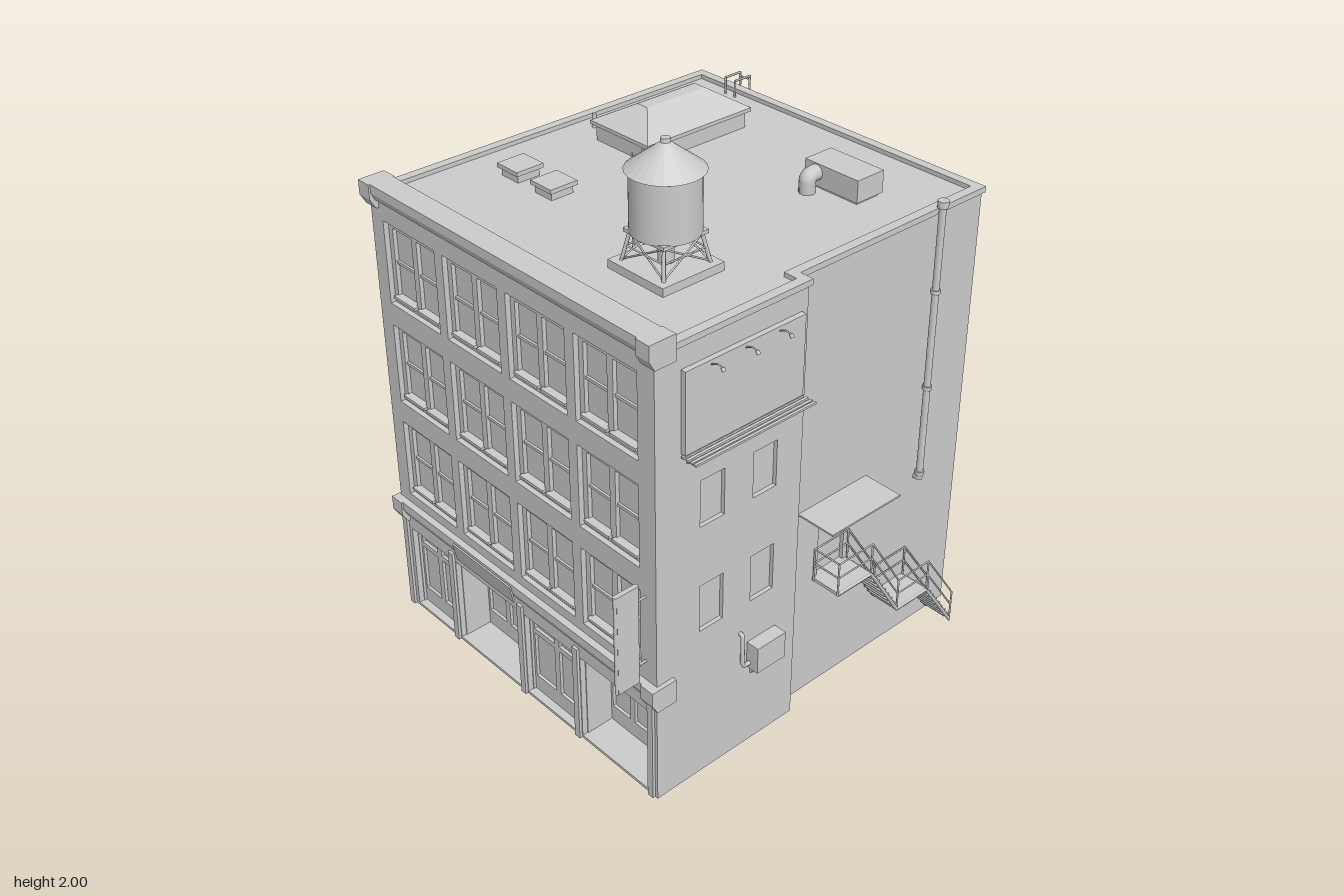
import * as THREE from 'three';

const mat = new THREE.MeshStandardMaterial({ color: 0xcccccc, side: THREE.DoubleSide });
const flat = new THREE.MeshStandardMaterial({ color: 0xcccccc, side: THREE.DoubleSide, flatShading: true });

function add(parent, name, geo, m = mat) {
  const mesh = new THREE.Mesh(geo, m);
  mesh.name = name;
  parent.add(mesh);
  return mesh;
}
function group(parent, name) {
  const g = new THREE.Group();
  g.name = name;
  parent.add(g);
  return g;
}
// box given by its limits
function box(p, name, x0, x1, y0, y1, z0, z1) {
  const m = add(p, name, new THREE.BoxGeometry(x1 - x0, y1 - y0, z1 - z0));
  m.position.set((x0 + x1) / 2, (y0 + y1) / 2, (z0 + z1) / 2);
  return m;
}
// round bar between two points
function bar(p, name, a, b, r = 0.003, sides = 6) {
  const A = new THREE.Vector3(...a), B = new THREE.Vector3(...b), d = B.clone().sub(A);
  const m = add(p, name, new THREE.CylinderGeometry(r, r, d.length(), sides));
  m.position.copy(A).add(B).multiplyScalar(0.5);
  m.quaternion.setFromUnitVectors(new THREE.Vector3(0, 1, 0), d.normalize());
  return m;
}
function tube(p, name, pts, r, seg = 20) {
  const c = new THREE.CatmullRomCurve3(pts.map(q => new THREE.Vector3(...q)), false, 'catmullrom', 0.2);
  return add(p, name, new THREE.TubeGeometry(c, seg, r, 10));
}
function poly(pts) {
  return new THREE.Shape(pts.map(q => new THREE.Vector2(...q)));
}
const rect = (a, b, c, d) => poly([[a, c], [b, c], [b, d], [a, d]]);
// wall in its own plane (outer face at z = 0) with recessed openings [u0, u1, y0, y1]
function wall(p, name, u0, u1, y0, y1, holes, depth, pane = true) {
  const s = rect(u0, u1, y0, y1);
  holes.forEach(h => s.holes.push(rect(...h)));
  add(p, name, new THREE.ExtrudeGeometry(s, { depth, bevelEnabled: false })).position.z = -depth;
  if (pane) holes.forEach(h => box(p, 'pane', h[0], h[1], h[2], h[3], -depth - 0.003, -depth + 0.001));
}
function ladder(p, a, b, y0, y1, step, r) {
  for (const q of [a, b]) bar(p, 'ladderRail', [q[0], y0, q[1]], [q[0], y1, q[1]], r);
  for (let y = y0 + step / 2; y < y1; y += step) bar(p, 'ladderRung', [a[0], y, a[1]], [b[0], y, b[1]], r * 0.8);
}

function buildWalls(root) {
  const g = group(root, 'walls');
  const rows = [[0.57, 0.74], [0.955, 1.117], [1.35, 1.51]];
  // front wall, stepped
  const left = group(g, 'frontWallProjecting');
  left.position.z = 0.61;
  wall(left, 'wall', -0.65, -0.07, 0, 1.59,
    rows.slice(0, 2).flatMap(r => [[-0.48, -0.385, ...r], [-0.27, -0.175, ...r]]), 0.015);
  const right = group(g, 'frontWall');
  right.position.z = 0.56;
  wall(right, 'wall', -0.075, 0.74, 0, 1.59, [[0.08, 0.2, 0.455, 0.7]], 0.015);
  box(g, 'wallStep', -0.075, -0.07, 0, 1.59, 0.545, 0.61);
  // side wall with windows, doors and cellar openings
  const side = group(g, 'sideWall');
  side.rotation.y = Math.PI / 2;
  side.position.x = 0.745;
  const spans = [[-0.35, -0.25], [-0.075, 0.025]];
  const doors = [[-0.2, -0.12, 0.005, 0.35], [0.265, 0.34, 0.005, 0.35]];
  const cellar = [-0.45, 0.02, 0.42].map(u => [u, u + 0.16, 0.045, 0.125]);
  wall(side, 'wall', -0.56, 0.7, 0, 1.59,
    [...rows.flatMap(r => spans.map(s => [...s, ...r])), ...doors, ...cellar], 0.015);
  box(g, 'backWall', -0.65, 0.745, 0, 1.59, -0.7, -0.69);
  // roof and its low rim
  const outline = o => [[-0.65 - o, -0.7 - o], [0.745 + o, -0.7 - o], [0.745 + o, 0.56 + o], [-0.07 + o, 0.56 + o],
    [-0.07 + o, 0.61 + o], [-0.65 - o, 0.61 + o]].map(q => [q[0], -q[1]]);
  const slab = (name, shape, y, h) => {
    const m = add(g, name, new THREE.ExtrudeGeometry(shape, { depth: h, bevelEnabled: false }));
    m.rotation.x = -Math.PI / 2;
    m.position.y = y;
  };
  slab('roof', poly(outline(-0.003)), 1.585, 0.01);
  const rim = poly(outline(0.008));
  rim.holes.push(poly(outline(-0.025)));
  slab('roofRim', rim, 1.59, 0.02);
}

function buildFacade(root) {
  const g = group(root, 'streetFacade');
  g.rotation.y = -Math.PI / 2; // local x runs along z, local z points to -x
  g.position.x = -0.65;
  // upper floors: paired sash windows in recessed bays
  const bays = [-0.64, -0.335, -0.03, 0.275].map(u => [u, u + 0.265]);
  const floors = [[0.49, 0.78], [0.86, 1.15], [1.23, 1.52]];
  const holes = floors.flatMap(f => bays.map(b => [...b, ...f]));
  wall(g, 'upperWall', -0.7, 0.61, 0.37, 1.59, holes, 0.02, false);
  for (const [a, b, y0, y1] of holes) {
    const bay = group(g, 'windowBay');
    bay.position.z = -0.018;
    wall(bay, 'bayPanel', a, b, y0, y1, [0.02, 0.145].map(d => [a + d, a + d + 0.1, y0 + 0.03, y1 - 0.025]), 0.015);
    for (const d of [0.02, 0.145]) {
      box(bay, 'meetingRail', a + d, a + d + 0.1, (y0 + y1) / 2 - 0.005, (y0 + y1) / 2 + 0.005, -0.016, -0.006);
      box(bay, 'sill', a + d - 0.006, a + d + 0.106, y0 + 0.02, y0 + 0.03, -0.002, 0.014);
    }
  }
  // cornices with larger end blocks
  const cornice = (name, y0, y1) => {
    const s = poly([[-0.02, y0 + 0.03], [0.012, y0 + 0.03], [0.024, y1 - 0.03], [0.024, y1], [-0.06, y1], [-0.06, y1 - 0.04], [-0.02, y1 - 0.04]]);
    const m = add(g, name, new THREE.ExtrudeGeometry(s, { depth: 1.31, bevelEnabled: false }));
    m.rotation.y = -Math.PI / 2;
    m.rotation.y = Math.PI / 2;
    m.scale.x = -1;
    m.position.x = -0.7;
    for (const u of [-0.71, 0.57]) {
      const e = add(g, name + 'End', new THREE.ExtrudeGeometry(
        poly([[-0.065, y0], [0.01, y0], [0.03, y0 + 0.035], [0.03, y1], [-0.065, y1]]), { depth: 0.055, bevelEnabled: false }));
      e.rotation.y = Math.PI / 2;
      e.scale.x = -1;
      e.position.x = u;
    }
  };
  cornice('upperCornice', 1.56, 1.645);
  cornice('lowerCornice', 0.37, 0.455);
  // shop fronts: [start, end, recess depth, panes]
  const shops = [[-0.65, -0.43, 0.03, 2], [-0.4, -0.06, 0.12, 3], [-0.03, 0.22, 0.03, 2], [0.25, 0.57, 0.12, 3]];
  wall(g, 'shopWall', -0.7, 0.61, 0, 0.37, shops.map(s => [s[0], s[1], 0.008, 0.335]), 0.025, false);
  for (const [a, b, d, n] of shops) {
    const shop = group(g, 'shopFront');
    const w = (b - a) / n;
    box(shop, 'entryFloor', a, b, 0, 0.01, -d, 0);
    box(shop, 'entryCeiling', a, b, 0.33, 0.338, -d, -0.02);
    for (const u of [a, b]) box(shop, 'entryCheek', u - 0.003, u + 0.003, 0, 0.335, -d, -0.02);
    const back = group(shop, 'shopGlazing');
    back.position.z = -d;
    const open = [];
    for (let i = 0; i < n; i++) {
      const u0 = a + i * w + 0.012, u1 = a + (i + 1) * w - 0.012;
      open.push([u0, u1, 0.07, 0.25], [u0, u1, 0.27, 0.32]);
    }
    wall(back, 'shopFrame', a, b, 0, 0.335, open, 0.012);
  }
  for (const u of [-0.69, -0.427, -0.057, 0.223, 0.575]) box(g, 'pilaster', u, u + 0.024, 0, 0.37, 0, 0.01);
  // slanted shop sign
  const sign = box(g, 'slantedPanel', -0.355, -0.05, 0.385, 0.455, 0.024, 0.03);
  sign.rotation.x = 0.2;
}

function buildFrontFittings(root) {
  // billboard with walkway and lamps
  const b = group(root, 'billboard');
  box(b, 'panel', -0.555, -0.095, 1.245, 1.515, 0.61, 0.628);
  for (const z of [0.622, 0.64, 0.658, 0.672]) box(b, 'walkwaySlat', -0.56, -0.09, 1.235, 1.242, z - 0.005, z + 0.005);
  for (const x of [-0.53, -0.395, -0.26, -0.125]) {
    bar(b, 'bracket', [x, 1.205, 0.612], [x, 1.235, 0.67], 0.004);
    bar(b, 'bracketFoot', [x, 1.205, 0.615], [x, 1.24, 0.615], 0.006);
  }
  for (const x of [-0.46, -0.33, -0.2]) {
    tube(b, 'lampArm', [[x, 1.5, 0.625], [x, 1.512, 0.65], [x, 1.51, 0.675]], 0.0025, 8);
    bar(b, 'lamp', [x, 1.51, 0.67], [x, 1.5, 0.677], 0.006, 8);
  }
  // wall cooling unit
  const u = group(root, 'coolingUnit');
  box(u, 'casing', -0.28, -0.16, 0.318, 0.415, 0.612, 0.66);
  for (const x of [-0.262, -0.18]) {
    bar(u, 'foot', [x, 0.285, 0.615], [x, 0.318, 0.615], 0.005);
    bar(u, 'footArm', [x, 0.29, 0.612], [x, 0.318, 0.655], 0.004);
  }
  tube(u, 'coolingPipe', [[-0.31, 0.465, 0.605], [-0.31, 0.462, 0.622], [-0.31, 0.36, 0.624], [-0.305, 0.342, 0.624], [-0.28, 0.34, 0.624]], 0.007);
  // hanging sign
  const s = group(root, 'hangingSign');
  box(s, 'signBoard', -0.765, -0.685, 0.47, 0.83, 0.557, 0.573);
  for (const x of [-0.763, -0.687]) bar(s, 'signEdge', [x, 0.47, 0.565], [x, 0.83, 0.565], 0.008, 10);
  for (const y of [0.53, 0.77]) bar(s, 'signBracket', [-0.69, y, 0.565], [-0.64, y, 0.565], 0.004);
  // canopy, door lamp and rain pipe
  box(root, 'canopy', -0.018, 0.29, 0.737, 0.743, 0.555, 0.705);
  const lamp = add(root, 'doorLamp', new THREE.SphereGeometry(0.009, 12, 8));
  lamp.position.set(0.265, 0.655, 0.567);
  const p = group(root, 'rainPipe');
  tube(p, 'pipe', [[0.538, 1.63, 0.578], [0.538, 0.66, 0.578], [0.538, 0.63, 0.575], [0.538, 0.625, 0.552]], 0.012, 60);
  bar(p, 'pipeHead', [0.538, 1.615, 0.578], [0.538, 1.638, 0.578], 0.018, 12);
  for (const y of [0.64, 0.97, 1.32]) bar(p, 'pipeCollar', [0.538, y, 0.578], [0.538, y + 0.014, 0.578], 0.016, 12);
}

function buildStairs(root) {
  const g = group(root, 'outsideStairs');
  const path = [[0.06, 0.455], [0.215, 0.455], [0.36, 0.23], [0.51, 0.23], [0.655, 0.02]];
  for (const i of [0, 2]) box(g, 'landing', path[i][0], path[i + 1][0], path[i][1] - 0.012, path[i][1], 0.56, 0.675);
  for (const z of [0.567, 0.672]) {
    for (let i = 0; i < 4; i++) {
      const [a, b] = [path[i], path[i + 1]];
      for (const h of [-0.005, 0.06, 0.115]) bar(g, h < 0 ? 'stringer' : 'handrail', [a[0], a[1] + h, z], [b[0], b[1] + h, z], h < 0 ? 0.006 : 0.003);
    }
    for (const q of path) bar(g, 'post', [q[0], q[1] - 0.01, z], [q[0], q[1] + 0.115, z], 0.0035);
  }
  for (const h of [0.06, 0.115]) bar(g, 'endRail', [0.06, 0.455 + h, 0.567], [0.06, 0.455 + h, 0.672], 0.003);
  for (const i of [1, 3]) for (let k = 1; k < 8; k++) {
    const t = k / 8, x = THREE.MathUtils.lerp(path[i][0], path[i + 1][0], t), y = THREE.MathUtils.lerp(path[i][1], path[i + 1][1], t);
    box(g, 'tread', x - 0.012, x + 0.012, y - 0.004, y, 0.567, 0.672);
  }
  // side wall ladder with hoops over the roof edge
  const l = group(root, 'wallLadder');
  ladder(l, [0.762, -0.478], [0.762, -0.524], 0.35, 1.655, 0.06, 0.004);
  for (const z of [-0.478, -0.524]) {
    bar(l, 'hoopTop', [0.762, 1.653, z], [0.692, 1.653, z], 0.004);
    bar(l, 'hoopLeg', [0.692, 1.653, z], [0.692, 1.59, z], 0.004);
    for (const y of [0.56, 0.97, 1.38]) bar(l, 'standoff', [0.74, y, z], [0.762, y, z], 0.004);
  }
}

function buildRoofItems(root) {
  // skylight: box, eave and hipped glass roof lofted between two rectangles
  const s = group(root, 'skylight');
  box(s, 'curb', 0.115, 0.54, 1.59, 1.655, -0.527, -0.273);
  box(s, 'eave', 0.1, 0.555, 1.652, 1.665, -0.54, -0.26);
  const hip = new THREE.BoxGeometry(0.455, 0.065, 0.28), v = hip.attributes.position;
  for (let i = 0; i < v.count; i++) if (v.getY(i) > 0) v.setXYZ(i, v.getX(i) * 0.55, v.getY(i), v.getZ(i) * 0.17);
  add(s, 'glassHip', hip, flat).position.set(0.3275, 1.697, -0.4);
  for (const z of [-0.483, -0.317]) {
    const h = group(root, 'roofHatch');
    box(h, 'hatchBody', -0.275, -0.19, 1.59, 1.625, z - 0.04, z + 0.04);
    box(h, 'hatchCap', -0.285, -0.18, 1.622, 1.637, z - 0.05, z + 0.05);
  }
  bar(root, 'ventPipe', [0.175, 1.59, -0.61], [0.175, 1.645, -0.61], 0.008, 10);
  // ventilation unit with bent duct
  const u = group(root, 'ventilationUnit');
  box(u, 'casing', 0.38, 0.495, 1.605, 1.68, 0.155, 0.375);
  box(u, 'base', 0.39, 0.485, 1.59, 1.605, 0.165, 0.365);
  tube(u, 'duct', [[0.385, 1.65, 0.203], [0.355, 1.65, 0.203], [0.342, 1.637, 0.203], [0.342, 1.59, 0.203]], 0.027);
  // water tower
  const t = group(root, 'waterTower');
  t.position.set(-0.308, 0, 0.278);
  box(t, 'plinth', -0.117, 0.117, 1.59, 1.622, -0.117, 0.117);
  add(t, 'tank', new THREE.CylinderGeometry(0.105, 0.105, 0.19, 32)).position.y = 1.815;
  add(t, 'tankRoof', new THREE.ConeGeometry(0.118, 0.09, 24), flat).position.y = 1.953;
  add(t, 'finial', new THREE.CylinderGeometry(0.014, 0.016, 0.012, 12)).position.y = 1.994;
  bar(t, 'riserPipe', [0, 1.61, 0], [0, 1.73, 0], 0.024, 16);
  box(t, 'tankDeck', -0.085, 0.085, 1.712, 1.724, -0.085, 0.085);
  const c = [[1, 1], [1, -1], [-1, -1], [-1, 1]];
  c.forEach((a, i) => {
    const b = c[(i + 1) % 4], at = (q, r, y) => [q[0] * r, y, q[1] * r];
    bar(t, 'leg', at(a, 0.09, 1.615), at(a, 0.07, 1.72), 0.006);
    bar(t, 'brace', at(a, 0.088, 1.625), at(b, 0.072, 1.71), 0.003);
    bar(t, 'brace', at(b, 0.088, 1.625), at(a, 0.072, 1.71), 0.003);
    bar(t, 'girt', at(a, 0.08, 1.668), at(b, 0.08, 1.668), 0.003);
  });
  ladder(t, [-0.02, -0.117], [0.02, -0.117], 1.62, 1.92, 0.025, 0.003);
}

export function createModel() {
  const root = new THREE.Group();
  root.name = 'cornerBuilding';
  for (const build of [buildWalls, buildFacade, buildFrontFittings, buildStairs, buildRoofItems]) build(root);
  return root;
}
